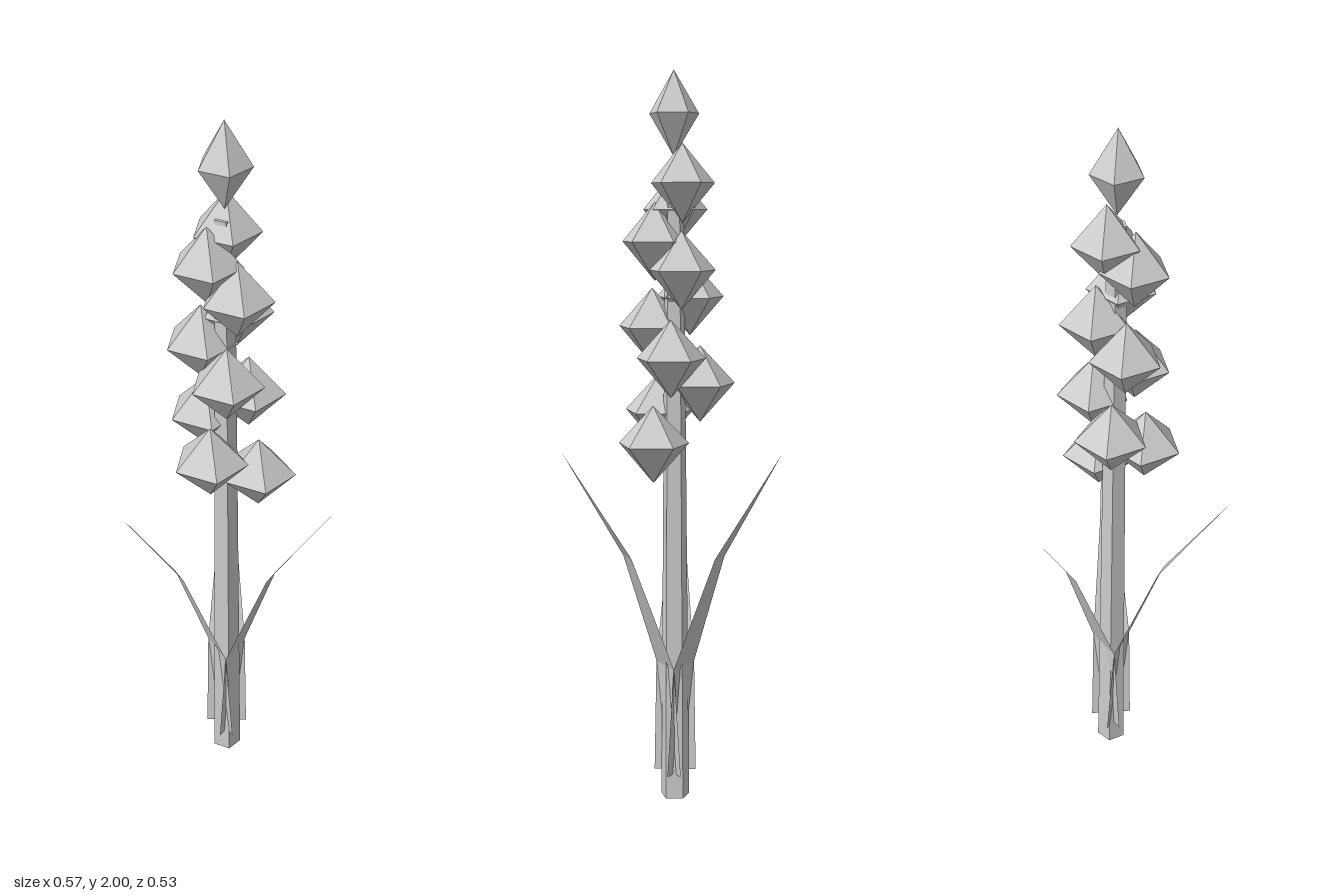
import * as THREE from 'three';

export function createModel() {
  const root = new THREE.Group();
  const grey = new THREE.MeshStandardMaterial({ color: 0xcccccc, flatShading: true, side: THREE.DoubleSide });
  grey.name = 'light grey';

  const axis = { x: -0.022, z: 0.065 };
  const add = (name, geometry, x, y, z) => {
    const mesh = new THREE.Mesh(geometry, grey);
    mesh.name = name;
    mesh.position.set(x, y, z);
    root.add(mesh);
    return mesh;
  };

  // Five-sided stem, slightly tapered, one corner towards +x
  const stemHeight = 1.75;
  add('stem', new THREE.CylinderGeometry(0.026, 0.041, stemHeight, 5, 1, false, Math.PI / 2),
    axis.x, stemHeight / 2, axis.z);

  // Blossoms: five-sided double pyramids spiralling up the stem [x, y, z, radius, half height]
  const blossoms = [
    [0.067, 1.01, 0.066, 0.1, 0.105],
    [-0.05, 1.085, 0.142, 0.1, 0.105],
    [-0.08, 1.165, 0.022, 0.099, 0.105],
    [0.035, 1.24, 0.031, 0.098, 0.105],
    [-0.008, 1.32, 0.131, 0.097, 0.105],
    [-0.083, 1.4, 0.06, 0.096, 0.105],
    [0.003, 1.475, 0.02, 0.095, 0.105],
    [0.015, 1.55, 0.102, 0.094, 0.105],
    [-0.061, 1.635, 0.095, 0.092, 0.105],
    [-0.021, 1.705, 0.036, 0.09, 0.105],
    [-0.021, 1.887, 0.065, 0.07, 0.113],
  ];
  const bud = new THREE.SphereGeometry(1, 5, 2);
  bud.rotateY(Math.PI);
  blossoms.forEach(([x, y, z, r, h], i) => {
    const last = i === blossoms.length - 1;
    add(last ? 'topBud' : `blossom${i + 1}`, bud, x, y, z).scale.set(r, h, r);
  });

  // Leaf: flat blade bending outwards, from rows of [distance out, height, half width]
  const rows = [[0.012, 0.07, 0.058], [0.03, 0.38, 0.053], [0.145, 0.7, 0.025], [0.334, 1.0, 0]];
  const points = [];
  for (let i = 0; i < rows.length - 1; i++) {
    const [r0, y0, w0] = rows[i];
    const [r1, y1, w1] = rows[i + 1];
    points.push(r0, y0, -w0, r1, y1, -w1, r0, y0, w0);
    if (w1 > 0) points.push(r0, y0, w0, r1, y1, -w1, r1, y1, w1);
  }
  const blade = new THREE.BufferGeometry();
  blade.setAttribute('position', new THREE.Float32BufferAttribute(points, 3));
  blade.computeVertexNormals();
  for (let i = 0; i < 3; i++) {
    const angle = THREE.MathUtils.degToRad(23.3 + i * 120);
    add(`leaf${i + 1}`, blade, axis.x, 0, axis.z).rotation.y = -angle;
  }
  return root;
}
